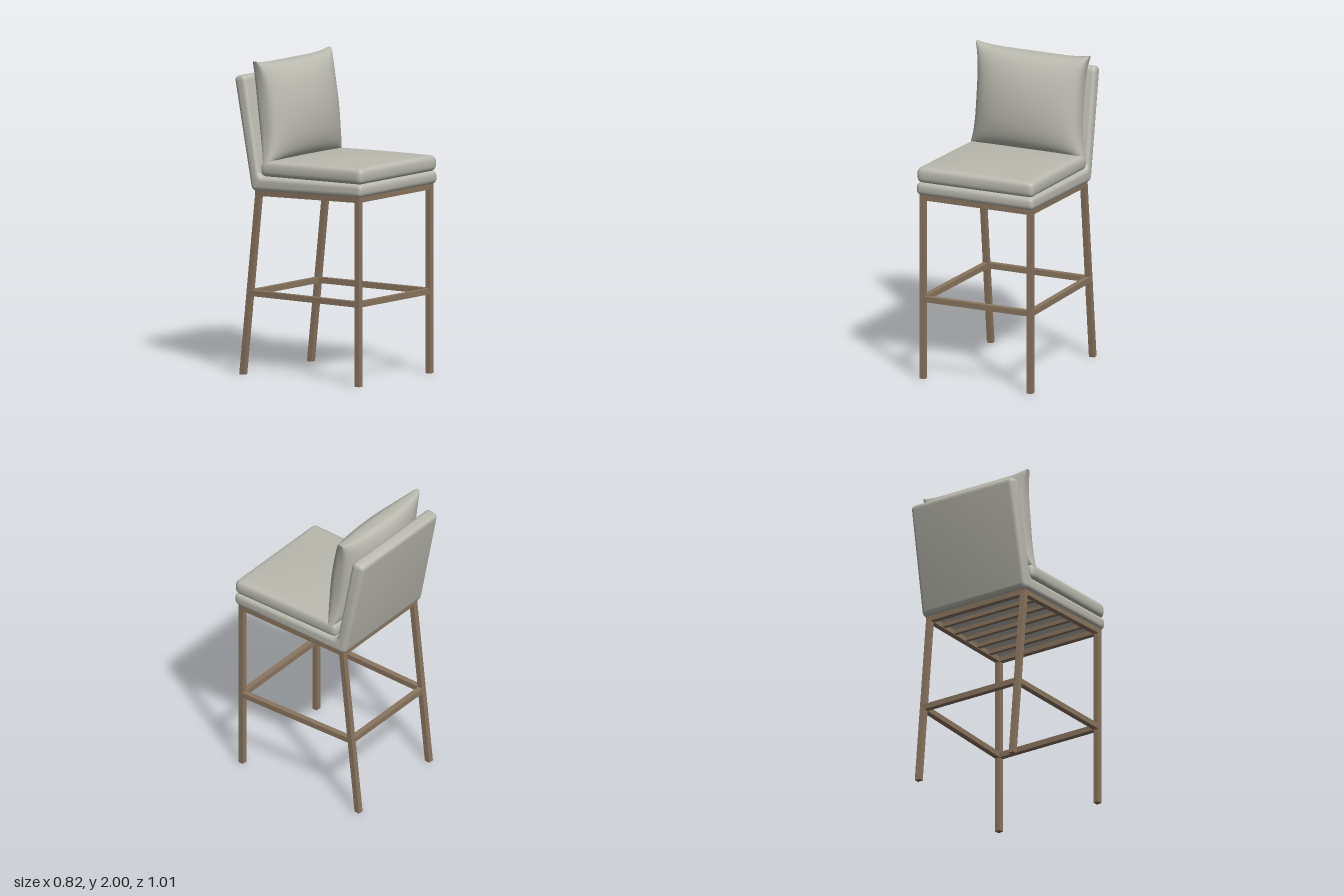
import * as THREE from 'three';
import { mergeVertices, toCreasedNormals } from 'three/addons/utils/BufferGeometryUtils.js';

const fabric = new THREE.MeshStandardMaterial({ color: 0xbbbab0 });
fabric.name = 'greyFabric';
const bronze = new THREE.MeshStandardMaterial({ color: 0x8b7660 });
bronze.name = 'bronzeMetal';

const T = 0.036; // metal tube thickness

function add(parent, name, geometry, material) {
  const mesh = new THREE.Mesh(geometry, material);
  mesh.name = name;
  parent.add(mesh);
  return mesh;
}

// Move every vertex by a rule, then weld and smooth
function warp(geometry, rule) {
  const p = geometry.attributes.position, v = new THREE.Vector3();
  for (let i = 0; i < p.count; i++) {
    rule(v.fromBufferAttribute(p, i));
    p.setXYZ(i, v.x, v.y, v.z);
  }
  geometry.deleteAttribute('uv');
  geometry.deleteAttribute('normal');
  const welded = mergeVertices(geometry, 1e-5);
  welded.computeVertexNormals();
  return welded;
}

// Upholstery narrows slightly toward the back
const taper = z => (z > -0.3 ? 1 - 0.03 * (0.5 - z) : 0.976 - 0.18 * (-0.3 - z));

// Closed outline with softened corners
function roundedShape(points, r) {
  const pts = points.map(p => new THREE.Vector2(...p));
  const shape = new THREE.Shape();
  pts.forEach((p, i) => {
    const prev = pts[(i + pts.length - 1) % pts.length], next = pts[(i + 1) % pts.length];
    const a = p.clone().add(prev.clone().sub(p).setLength(r));
    const b = p.clone().add(next.clone().sub(p).setLength(r));
    if (i) shape.lineTo(a.x, a.y); else shape.moveTo(a.x, a.y);
    shape.quadraticCurveTo(p.x, p.y, b.x, b.y);
  });
  shape.closePath();
  return shape;
}

// Seat base and backrest: one L-shaped side profile swept across the width
function shellGeometry() {
  const profile = roundedShape([
    [0.505, 1.203], [0.505, 1.287], [-0.305, 1.268],
    [-0.42, 1.905], [-0.508, 1.89], [-0.365, 1.175],
  ], 0.036);
  const bevel = 0.028, width = 0.82;
  const g = new THREE.ExtrudeGeometry(profile, {
    depth: width - 2 * bevel, curveSegments: 6, bevelEnabled: true,
    bevelSize: bevel, bevelThickness: bevel, bevelOffset: -bevel, bevelSegments: 5,
  });
  g.translate(0, 0, bevel - width / 2).rotateY(-Math.PI / 2);
  return toCreasedNormals(warp(g, v => { v.x *= taper(v.z); }), 0.6);
}

// Loose seat cushion: rounded block with a crowned top
function cushionGeometry() {
  const half = [0.41, 0.05, 0.4], r = 0.036;
  const inner = new THREE.Vector3(half[0] - r, half[1] - r, half[2] - r);
  const c = new THREE.Vector3();
  return warp(new THREE.BoxGeometry(2, 2, 2, 28, 8, 28), v => {
    v.set(...v.toArray().map((t, i) => Math.sin(t * Math.PI / 2) * half[i]));
    c.copy(v).clamp(inner.clone().negate(), inner);
    v.sub(c).setLength(r).add(c);
    const u = v.x / half[0], w = v.z / half[2];
    if (v.y > 0) v.y += 0.02 * (1 - u * u) * (1 - w * w) * v.y / half[1];
    v.z += 0.105;
    v.y += 1.328 + 0.016 * (v.z - 0.1);
    v.x *= taper(v.z);
  });
}

// Back pillow: flattened box, pinched sides and drawn-out corners
function pillowGeometry() {
  return warp(new THREE.BoxGeometry(2, 2, 2, 32, 32, 2), v => {
    const u = Math.sin(v.x * Math.PI / 2), w = Math.sin(v.y * Math.PI / 2);
    const swell = Math.pow(Math.max(0, (1 - u * u) * (1 - w * w)), 0.42);
    const depth = v.z > 0 ? 0.145 * swell + 0.012 : 0.1 * swell + 0.012;
    v.x = u * (0.362 + 0.036 * Math.pow(Math.abs(w), 3));
    v.y = 1.674 + w * (0.304 + 0.022 * Math.pow(Math.abs(u), 5));
    v.z = -0.293 - 0.04 * w + v.z * depth;
  });
}

// Straight square tube between two points
function beam(parent, name, a, b, size = T) {
  const from = new THREE.Vector3(...a), to = new THREE.Vector3(...b);
  const mesh = add(parent, name, new THREE.BoxGeometry(size, size, from.distanceTo(to)), bronze);
  mesh.position.copy(from).add(to).multiplyScalar(0.5);
  mesh.lookAt(to);
}

// Leg with level ends; the foot is shifted back by lean
function leg(parent, name, x, z, height, lean) {
  const g = new THREE.BoxGeometry(T, height, T).translate(0, height / 2, 0).toNonIndexed();
  const p = g.attributes.position;
  for (let i = 0; i < p.count; i++) p.setZ(i, p.getZ(i) - lean * (1 - p.getY(i) / height));
  g.computeVertexNormals();
  add(parent, name, g, bronze).position.set(x, 0, z);
}

export function createModel() {
  const model = new THREE.Group();
  model.name = 'barStool';

  const upholstery = new THREE.Group();
  upholstery.name = 'upholstery';
  add(upholstery, 'seatBaseAndBackrest', shellGeometry(), fabric);
  add(upholstery, 'seatCushion', cushionGeometry(), fabric);
  add(upholstery, 'backPillow', pillowGeometry(), fabric);
  model.add(upholstery);

  const frame = new THREE.Group();
  frame.name = 'metalFrame';
  const xf = 0.376, xr = 0.358, zf = 0.463, zr = -0.325;
  const yf = 1.187, yr = 1.162, lean = 0.125;
  const rungY = 0.522, zrRung = zr - lean * (1 - rungY / yr);

  for (const [side, s] of [['left', 1], ['right', -1]]) {
    leg(frame, side + 'FrontLeg', s * xf, zf, yf, 0);
    leg(frame, side + 'RearLeg', s * xr, zr, yr, lean);
    beam(frame, side + 'SeatRail', [s * xf, yf, zf + T / 2], [s * xr, yr, zr - T / 2]);
    beam(frame, side + 'FootRung', [s * xf, rungY, zf], [s * xr, rungY, zrRung]);
  }
  beam(frame, 'frontSeatRail', [-xf, yf, zf], [xf, yf, zf]);
  beam(frame, 'rearSeatRail', [-xr, yr, zr], [xr, yr, zr]);
  beam(frame, 'frontFootRung', [-xf, rungY, zf], [xf, rungY, zf]);
  beam(frame, 'rearFootRung', [-xr, rungY, zrRung], [xr, rungY, zrRung]);

  // Cross slats under the seat
  for (let i = 1; i <= 5; i++) {
    const t = i / 6, x = THREE.MathUtils.lerp(xf, xr, t);
    const y = THREE.MathUtils.lerp(yf, yr, t), z = THREE.MathUtils.lerp(zf, zr, t);
    beam(frame, 'seatSlat', [-x, y, z], [x, y, z], 0.026);
  }
  model.add(frame);
  return model;
}
